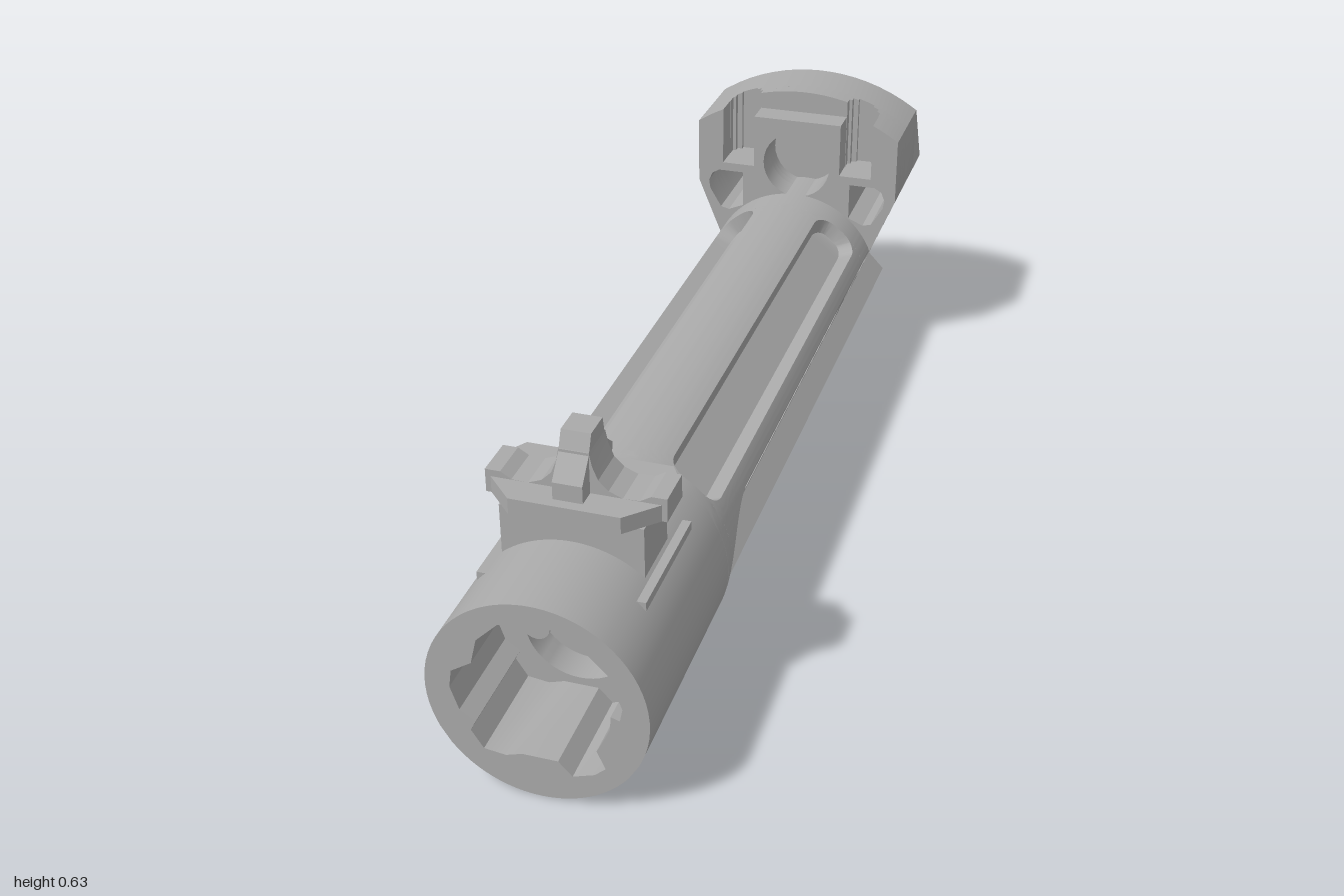
import * as THREE from 'three';
import { toCreasedNormals } from 'three/addons/utils/BufferGeometryUtils.js';

const E = 1e-4, CY = 0.2, R = 0.2, BORE = 0.067;
const VENTS = [-0.66, -0.75, -0.84, -0.93], VENT_Y = 0.1975;
const { lerp, clamp } = THREE.MathUtils;
const root = v => Math.sqrt(Math.max(0, v));
const circX = y => root(R * R - (y - CY) ** 2);
const angleAt = (y, r) => Math.acos(clamp((y - CY) / r, -1, 1));
const polar = (a, r) => [r * Math.sin(a), CY + r * Math.cos(a)];
const mirror = half => [...half, ...half.slice().reverse().map(([x, y]) => [-x, y])];
const ring = (x, y, r, n = 32) => Array.from({ length: n }, (_, i) => {
  const a = i / n * Math.PI * 2;
  return [x + r * Math.sin(a), y + r * Math.cos(a)];
});

// half width of a slot with rounded corners at station z
function slot(z, z0, z1, h, r) {
  const d = Math.min(z - z0, z1 - z);
  if (d < 0) return 0;
  return d < r ? h - r + root(r * r - (r - d) ** 2) : h;
}
const ventHalf = z => Math.max(...VENTS.map(c => slot(z, c - 0.0325, c + 0.0325, 0.0475, 0.0325)));

// underside height: rail teeth, ramps and rear recess
const inGap = z => [0, 1, 2, 3, 4, 5, 6].some(k => z < 0.334 - 0.157 * k && z > 0.26 - 0.157 * k);
function underside(z) {
  if (z >= 0.55) return 0;
  if (z > 0.46) return lerp(0.035, 0, (z - 0.46) / 0.09);
  if (z > -0.69) return inGap(z) ? 0.08 : 0.035;
  if (z > -0.78) return lerp(0, 0.035, (z + 0.78) / 0.09);
  if (z > -0.8) return Math.max(0, lerp(0.025, 0, (z + 0.8) / 0.02));
  return z > -0.9 ? 0.025 : lerp(0, 0.025, (z + 1) / 0.1);
}

// half cross-section of the outer body, from top centre to bottom centre
const FLOOR = 31;   // index of the side slot floor segment
function section(z) {
  const p = [], ac = 0.68, w = slot(z, -0.62, 0.52, 0.059, 0.04) / R, fr = w > 0 ? 0.165 : R;
  for (let i = 0; i <= 12; i++) p.push(polar(i / 12 * (ac - w), R));
  p.push(polar(ac - w * 0.85, fr), polar(ac + w * 0.85, fr));
  const yu = z >= 0.55 ? 0.12 : z <= 0.35 ? 0.28 : 0.12 + 0.16 * root(1 - ((z - 0.35) / 0.2) ** 2);
  for (let i = 0; i <= 14; i++) p.push(polar(lerp(ac + w, angleAt(yu, R), i / 14), R));
  // slanted side flat with its slot or vent
  const t = clamp((0.55 - z) / 0.12, 0, 1);
  const c = [lerp(circX(0.11), 0.122, t), lerp(0.11, 0.12, t)], top = [circX(yu), yu];
  const flat = f => [lerp(top[0], c[0], f), lerp(top[1], c[1], f)];
  const v = ventHalf(z), s = slot(z, -0.53, 0.3, 0.035, 0.035);
  const mid = v > 0 ? 0.516 : 0.56, h = (v || s) / 0.16;
  const a = flat(mid - h), b = flat(Math.min(0.98, mid + h + (v > 0 ? 0.14 : 0)));
  const inner = (q, y) => v > 0 ? [root(BORE ** 2 - (y - CY) ** 2), y] : [q[0] - (s > 0 ? 0.03 : 0), q[1]];
  p.push(a, inner(a, VENT_Y + v), inner(b, VENT_Y - v), b, c);
  // ledge, lower curve, rail tooth and channel
  const yb = underside(z), ab = angleAt(yb, R), al = angleAt(0.08, R);
  for (let i = 0; i <= 12; i++) p.push(polar(lerp(al, ab, i / 12), R));
  const bx = circX(yb), yc = z > -0.69 && z < 0.42 ? 0.082 : yb;
  p.push([Math.min(0.075, bx), yb], [Math.min(0.07, bx), yc], [0, yc]);
  return p;
}

// half cross-section of the bore, open where vents break through
function boreSection(z) {
  const r = z >= 0.74 ? 0.1 : z <= -0.97 ? 0.085 : BORE, v = ventHalf(z), p = [];
  const aU = angleAt(VENT_Y + v, r), aL = angleAt(VENT_Y - v, r);
  for (let i = 0; i <= 12; i++) p.push(polar(aU * i / 12, r));
  for (let i = 0; i <= 12; i++) p.push(polar(lerp(aL, Math.PI, i / 12), r));
  return p;
}

// skin between closed rings running toward -z
function loft(rings, zs, inward = false, skip = () => false) {
  const n = rings[0].length, pos = [], idx = [];
  rings.forEach((r, i) => r.forEach(([x, y]) => pos.push(x, y, zs[i])));
  const point = k => new THREE.Vector3().fromArray(pos, k * 3);
  const tri = (a, b, c) => {
    const u = point(b).sub(point(a)), v = point(c).sub(point(a));
    if (u.cross(v).length() > 1e-9) idx.push(a, ...(inward ? [c, b] : [b, c]));
  };
  for (let i = 0; i < rings.length - 1; i++) for (let j = 0; j < n; j++) {
    if (skip(i, j)) continue;
    const a = i * n + j, b = i * n + (j + 1) % n;
    tri(a, b, a + n);
    tri(b, b + n, a + n);
  }
  const g = new THREE.BufferGeometry();
  g.setAttribute('position', new THREE.Float32BufferAttribute(pos, 3));
  g.setIndex(idx);
  return toCreasedNormals(g, 0.45);
}

// flat shape without repeated neighbouring points
function shapeOf(pts, holes = []) {
  const vec = q => q.filter(([x, y], i) => {
    const [px, py] = q[(i + q.length - 1) % q.length];
    return Math.hypot(x - px, y - py) > 1e-6;
  }).map(([x, y]) => new THREE.Vector2(x, y));
  const s = new THREE.Shape(vec(pts));
  holes.forEach(h => s.holes.push(new THREE.Path(vec(h))));
  return s;
}
const extrude = (pts, depth, holes) => new THREE.ExtrudeGeometry(shapeOf(pts, holes), { depth, bevelEnabled: false });

export function createModel() {
  const model = new THREE.Group();
  const grey = new THREE.MeshStandardMaterial({ color: 0xaaaaaa, side: THREE.DoubleSide });
  grey.name = 'grey';
  const add = (name, geo, x = 0, y = 0, z = 0) => {
    const m = new THREE.Mesh(geo, grey);
    m.name = name;
    m.position.set(x, y, z);
    model.add(m);
  };
  const face = (name, pts, holes, z, back = false) => {
    const g = new THREE.ShapeGeometry(shapeOf(pts, holes));
    if (back) {
      g.setIndex(Array.from(g.index.array).reverse());
      g.computeVertexNormals();
    }
    add(name, g, 0, 0, z);
  };
  const slab = (name, pts, holes, z0, z1) => add(name, toCreasedNormals(extrude(pts, z1 - z0, holes), 0.4), 0, 0, z0);

  // stations along the body
  const st = [1, 0.55, 0.46, 0.42 + E, 0.42 - E, -0.69 + E, -0.69 - E, -0.78, -0.8, -0.9, -1];
  for (let i = 1; i < 12; i++) st.push(0.55 - 0.2 * (1 - Math.cos(i / 11 * Math.PI / 2)));
  for (let k = 0; k < 7; k++) for (const z of [0.334, 0.26]) st.push(z - 0.157 * k + E, z - 0.157 * k - E);
  const slotStations = (z0, z1, r) => {
    st.push(z0 - E, z1 + E);
    for (let k = 0; k <= 6; k++) {
      const d = r * (1 - Math.cos(k / 6 * Math.PI / 2)) + 1e-6;
      st.push(z0 + d, z1 - d);
    }
  };
  slotStations(-0.62, 0.52, 0.04);
  slotStations(-0.53, 0.3, 0.035);
  VENTS.forEach(c => slotStations(c - 0.0325, c + 0.0325, 0.0325));
  const zs = st.sort((a, b) => b - a).filter((z, i) => i === 0 || st[i - 1] - z > 1e-7);

  // outer body
  const n = section(0).length;
  add('body', loft(zs.map(z => mirror(section(z))), zs, false,
    (i, j) => zs[i] < -0.625 && (j === FLOOR || j === 2 * n - 2 - FLOOR)));

  // bore
  const bz = [0.8, 0.74, 0.74 - E, ...zs.filter(z => z < 0.7 && z > -0.965), -0.97 + E, -0.97, -1];
  const bn = boreSection(0).length;
  add('bore', loft(bz.map(z => mirror(boreSection(z))), bz, true, (i, j) => j === 12 || j === 2 * bn - 14));

  // lobed socket in the front end
  const socket = [[0, 0.37], [0.05, 0.355], [0.09, 0.33], [0.13, 0.29], [0.153, 0.225], [0.148, 0.2], [0.132, 0.205],
    [0.13, 0.175], [0.105, 0.125], [0.12, 0.09], [0.1, 0.072], [0.06, 0.058], [0.035, 0.085], [-0.03, 0.085], [-0.06, 0.075],
    [-0.1, 0.08], [-0.122, 0.115], [-0.112, 0.135], [-0.14, 0.155], [-0.155, 0.2], [-0.15, 0.235], [-0.112, 0.26],
    [-0.1, 0.31], [-0.06, 0.35]];
  face('frontFace', mirror(section(1)), [socket], 1);
  add('socketWall', loft([socket, socket], [1, 0.8], true));
  face('socketFloor', socket, [ring(0, CY, 0.1, 48)], 0.8);
  add('socketPin', new THREE.CylinderGeometry(0.024, 0.024, 0.18, 20).rotateX(Math.PI / 2), 0, 0.345, 0.89);

  // rear face with blind pockets
  const crescent = [];
  for (let i = 0; i <= 12; i++) crescent.push(polar(Math.PI + 0.72 * (i / 6 - 1), 0.165));
  for (let i = 12; i >= 0; i--) crescent.push(polar(Math.PI + 0.6 * (i / 6 - 1), 0.118));
  const pockets = [ring(0.1, 0.28, 0.034, 20), ring(-0.1, 0.28, 0.034, 20), crescent];
  face('rearFace', mirror(section(-1)), [ring(0, CY, 0.085, 48), ...pockets], -1, true);
  pockets.forEach(p => {
    add('rearPocketWall', loft([p, p], [-0.95, -1], true));
    face('rearPocketFloor', p, [], -0.95, true);
  });

  // rear block, built in slabs with upright notches and through windows
  const crown = x => 0.2135 + root(0.4215 ** 2 - x * x);
  const outline = (w, lip) => {
    const p = [[0, 0.325], [0.155, 0.325], [0.185, 0.275], [0.24, 0.41], [0.24, 0.56]];
    const arc = (a, b) => {
      for (let i = 0; i <= 8; i++) {
        const x = lerp(a, b, i / 8);
        p.push([x, lip && x < 0.15 ? lip : crown(x)]);
      }
    };
    if (w > 0) {
      arc(0.235, 0.142 + w);
      p.push([0.142 + w, 0.46], [0.142 - w, 0.46]);
      arc(0.142 - w, 0);
    } else arc(0.235, 0);
    return mirror(p);
  };
  const win = [[0.13, 0.44], [0.19, 0.44], [0.207, 0.43], [0.215, 0.41], [0.212, 0.39], [0.185, 0.345], [0.165, 0.34], [0.13, 0.355]];
  const windows = [win, win.map(([x, y]) => [-x, y])];
  const cuts = [-0.69, -0.75, -0.77, -0.785, -0.795, -0.905];
  [0.038, 0.037, 0.03, 0.018, 0].forEach((w, i) => slab('rearBlock', outline(w, i === 0 ? 0.585 : 0),
    i < 4 ? [...windows, ring(0, 0.475, 0.08, 32)] : windows, cuts[i + 1], cuts[i]));
  slab('rearBlockLower', mirror([[0, 0.325], [0.155, 0.325], [0.185, 0.275], [0.232, 0.39], [0.212, 0.39],
    [0.185, 0.345], [0.165, 0.34], [0.13, 0.355], [0.13, 0.39], [0, 0.39]]), [], -1, -0.905);
  // sloped back of the block
  const wedge = extrude(mirror([[0, 0.39], [0.13, 0.39], [0.13, 0.44], [0.19, 0.44], [0.207, 0.43],
    [0.215, 0.41], [0.212, 0.39], [0.232, 0.39], [0.24, 0.41], [0.24, 0.56], [0, 0.56]]), 0.095);
  const wp = wedge.attributes.position;
  for (let i = 0; i < wp.count; i++) if (wp.getZ(i) < 0.01) wp.setZ(i, 0.094 * (wp.getY(i) - 0.39) / 0.17);
  wedge.computeVertexNormals();
  add('rearBlockSlope', wedge, 0, 0, -1);

  // front sight: neck, side rails, winged plate and post
  add('sightNeck', new THREE.BoxGeometry(0.26, 0.11, 0.12), 0, 0.395, 0.75);
  add('sightCollar', new THREE.BoxGeometry(0.245, 0.02, 0.1), 0, 0.45, 0.75);
  for (const s of [-1, 1]) add('sightRail', new THREE.BoxGeometry(0.02, 0.02, 0.25), s * 0.142, 0.337, 0.745);
  const plan = mirror([[0, -0.84], [0.1, -0.84], [0.163, -0.775], [0.163, -0.71], [0.135, -0.665], [0, -0.665]]);
  add('sightPlate', extrude(plan, 0.032).rotateX(-Math.PI / 2), 0, 0.455, 0);
  slab('sightWings', mirror([[0, 0.455], [0.163, 0.455], [0.163, 0.5], [0.135, 0.5], [0.115, 0.488], [0.085, 0.487],
    [0.06, 0.497], [0.042, 0.515], [0.032, 0.54], [0.027, 0.565], [0, 0.565]]), [], 0.705, 0.785);
  const side = [[-0.82, 0.485], [-0.82, 0.52], [-0.785, 0.56], [-0.77, 0.595], [-0.715, 0.595], [-0.705, 0.55], [-0.67, 0.52], [-0.68, 0.485]];
  add('sightPost', extrude(side, 0.054).rotateY(Math.PI / 2), -0.027, 0, 0);
  return model;
}
